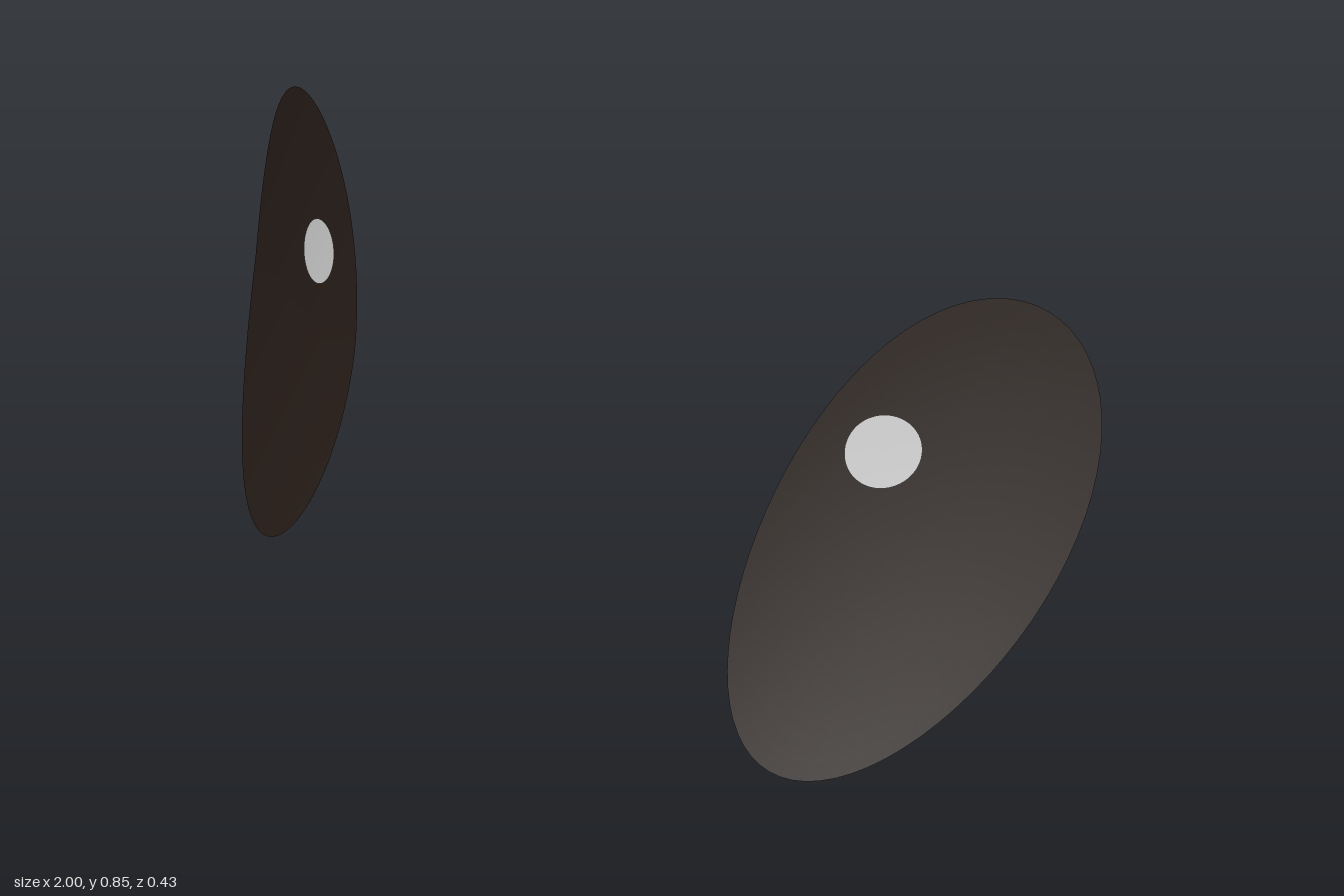
import * as THREE from 'three';
import { mergeVertices } from 'three/addons/utils/BufferGeometryUtils.js';

// Centre and half axes of the leaning eye outline
const CX = 0.745, CY = 0.425, LEAN = 0.07, HALF_W = 0.245, HALF_H = 0.425;

// Depth of the wrapped eye surface at outward distance x and height y
function eyeDepth(x, y, side) {
  const p = (y - CY) / HALF_H;
  const q = (x - CX - LEAN * p) / HALF_W;
  // the right eye leans back slightly less towards its top
  const skew = side < 0 ? 0.025 * Math.max(p, 0) : 0;
  return -0.02 - 0.186 * p - 0.099 * q + 0.035 * p * p - 0.018 * q * q + skew;
}

// Round patch laid on the eye surface; place(u, v) turns the unit disc into [x, y]
function surfacePatch(name, material, side, rings, lift, place) {
  const disc = new THREE.RingGeometry(0.001, 1, 72, rings);
  disc.deleteAttribute('uv');
  disc.deleteAttribute('normal');
  const geometry = mergeVertices(disc, 1e-5);
  const pos = geometry.attributes.position;
  for (let i = 0; i < pos.count; i++) {
    const [x, y] = place(side * pos.getX(i), pos.getY(i));
    pos.setXYZ(i, side * x, y, eyeDepth(x, y, side) + lift);
  }
  geometry.computeVertexNormals();
  const mesh = new THREE.Mesh(geometry, material);
  mesh.name = name;
  return mesh;
}

export function createModel() {
  const model = new THREE.Group();
  model.name = 'eyes';
  const dark = new THREE.MeshStandardMaterial({ color: 0x261c17, side: THREE.DoubleSide });
  const white = new THREE.MeshStandardMaterial({ color: 0xffffff });

  for (const side of [1, -1]) {
    const eye = new THREE.Group();
    eye.name = side > 0 ? 'leftEye' : 'rightEye';
    // Curved dark oval; u is already mirrored, so it always points outward
    eye.add(surfacePatch('eyeSurface', dark, side, 14, 0,
      (u, v) => [CX + LEAN * v + HALF_W * u, CY + HALF_H * v]));
    // Small round highlight just in front of it
    eye.add(surfacePatch('highlight', white, side, 4, 0.012,
      (u, v) => [0.674 + 0.063 * u, 0.568 + 0.063 * v]));
    model.add(eye);
  }
  return model;
}
